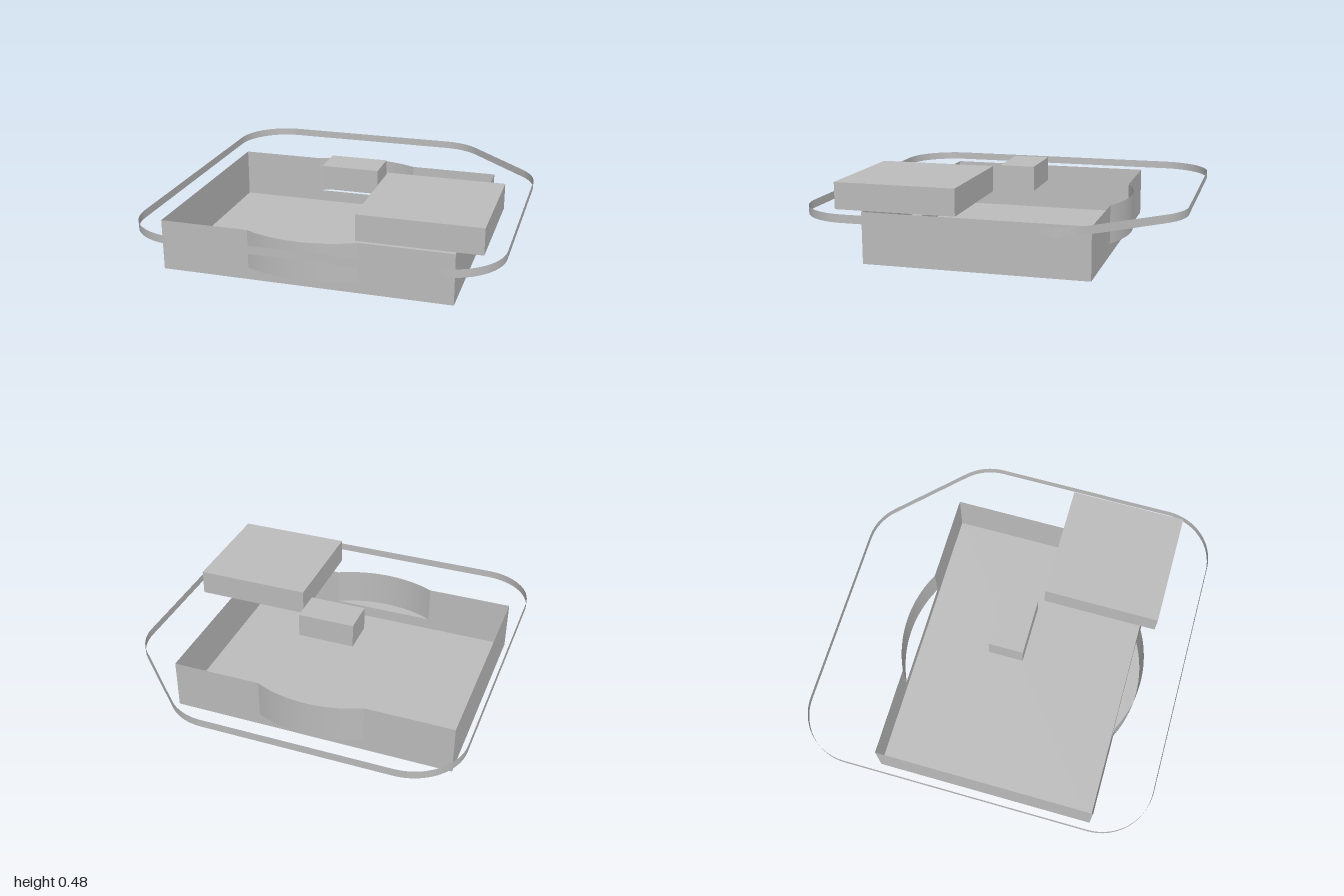
import * as THREE from 'three';

const RIM = 0.29, TOP = 0.335, SILL = 0.07;
const L = -0.9, R = 0.74, BACK = -0.555, FRONT = 0.71;
const BAY_MID = -0.085, BAY_HALF = 0.31;

// Upright thin strip following [x, z] points between two heights
function ribbon(points, y0, y1) {
  const pos = [], index = [];
  points.forEach(([x, z], i) => {
    pos.push(x, y0, z, x, y1, z);
    if (i < points.length - 1) {
      const a = 2 * i;
      index.push(a, a + 1, a + 2, a + 1, a + 3, a + 2);
    }
  });
  const g = new THREE.BufferGeometry();
  g.setAttribute('position', new THREE.Float32BufferAttribute(pos, 3));
  g.setIndex(index);
  g.computeVertexNormals();
  return g;
}

function arc(cx, cz, r, startDeg, endDeg, steps) {
  const pts = [];
  for (let i = 0; i <= steps; i++) {
    const a = THREE.MathUtils.degToRad(startDeg + (endDeg - startDeg) * i / steps);
    pts.push([cx + r * Math.cos(a), cz + r * Math.sin(a)]);
  }
  return pts;
}

// Shallow curved bay, bulging out of a wall at z by the given depth
function bayPoints(z, depth, side) {
  const r = (BAY_HALF ** 2 + depth ** 2) / (2 * depth);
  const half = THREE.MathUtils.radToDeg(Math.asin(BAY_HALF / r));
  const mid = 90 * side;
  return arc(BAY_MID, z - side * (r - depth), r, mid - half, mid + half, 20);
}

export function createModel() {
  const model = new THREE.Group();
  const grey = new THREE.MeshStandardMaterial({ color: 0xbcbcbc, side: THREE.DoubleSide });
  grey.name = 'plain grey';

  const add = (name, geometry, x = 0, y = 0, z = 0, parent = model) => {
    const mesh = new THREE.Mesh(geometry, grey);
    mesh.name = name;
    mesh.position.set(x, y, z);
    parent.add(mesh);
    return mesh;
  };

  // Floor of the open tray
  add('floor', new THREE.PlaneGeometry(R - L, FRONT - BACK).rotateX(-Math.PI / 2),
    (L + R) / 2, 0, (FRONT + BACK) / 2);

  // Plain side walls
  add('leftWall', ribbon([[R, BACK], [R, FRONT]], 0, RIM));
  add('rightWall', ribbon([[L, FRONT], [L, BACK]], 0, RIM));

  // Front and back walls, each opening into a curved bay above a low sill
  for (const [name, z, depth, side] of [['front', FRONT, 0.075, 1], ['back', BACK, 0.072, -1]]) {
    const wall = new THREE.Group();
    wall.name = name + 'Wall';
    model.add(wall);
    const xs = [R, BAY_MID + BAY_HALF, BAY_MID - BAY_HALF, L];
    if (side < 0) xs.reverse();
    for (let i = 0; i < 3; i++) {
      add(i === 1 ? name + 'Sill' : name + 'Panel',
        ribbon([[xs[i], z], [xs[i + 1], z]], 0, i === 1 ? SILL : RIM), 0, 0, 0, wall);
    }
    add(name + 'Bay', ribbon(bayPoints(z, depth, side), SILL, RIM), 0, 0, 0, wall);
  }

  // Ledge under the front bay
  const ledge = new THREE.Shape(bayPoints(FRONT, 0.075, 1).map(([x, z]) => new THREE.Vector2(x, z)));
  add('frontBayLedge', new THREE.ShapeGeometry(ledge).rotateX(Math.PI / 2), 0, SILL, 0);

  // Thin outer band: three round corners and one bevelled corner at the back
  const band = [
    ...arc(0.7, 0.7, 0.3, 0, 90, 16),
    ...arc(-0.7, 0.7, 0.3, 90, 180, 16),
    ...arc(-0.7, -0.7, 0.3, 180, 270, 16),
    ...arc(0.35, -0.7, 0.3, 270, 315, 8),
    ...arc(0.7, -0.35, 0.3, 315, 360, 8),
  ];
  band.push(band[0]);
  add('outerBand', ribbon(band, RIM, TOP));

  // Raised blocks
  add('largeBlock', new THREE.BoxGeometry(0.665, 0.145, 0.665), 0.5625, TOP + 0.0725, 0.455);
  add('smallBlock', new THREE.BoxGeometry(0.33, 0.14, 0.2), 0, TOP + 0.07, 0);

  return model;
}
